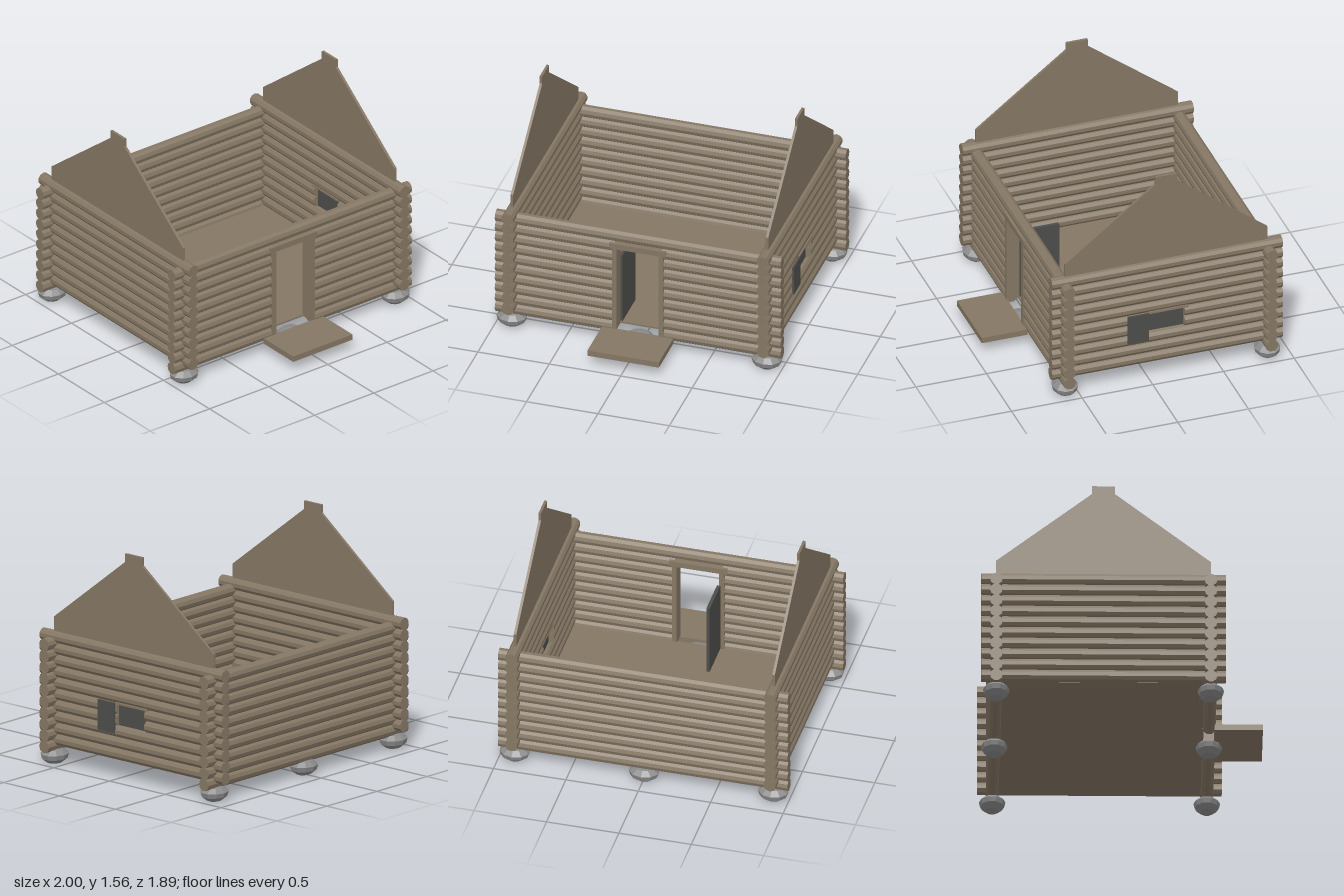
import * as THREE from 'three';

const wood = new THREE.MeshStandardMaterial({ color: 0x857764 });
wood.name = 'wood';
const slate = new THREE.MeshStandardMaterial({ color: 0x4d4e4b });
slate.name = 'dark panel';
const stone = new THREE.MeshStandardMaterial({ color: 0x8a8a8a });
stone.name = 'stone';

const LOG_R = 0.043, PITCH = 0.0785, LOGS = 10;
const WALL_X = 0.893, FRONT_Z = 0.587, BACK_Z = -0.845;

function add(parent, geometry, material, name) {
  const mesh = new THREE.Mesh(geometry, material);
  mesh.name = name;
  parent.add(mesh);
  return mesh;
}

// Box given by its minimum and maximum corners
function box(parent, name, material, [x0, y0, z0], [x1, y1, z1]) {
  const geo = new THREE.BoxGeometry(x1 - x0, y1 - y0, z1 - z0);
  geo.translate((x0 + x1) / 2, (y0 + y1) / 2, (z0 + z1) / 2);
  return add(parent, geo, material, name);
}

// Faceted log between a and b along the x or z axis
function log(parent, axis, a, b, y, offset) {
  const geo = new THREE.CylinderGeometry(LOG_R, LOG_R, b - a, 10).toNonIndexed();
  geo.computeVertexNormals();
  if (axis === 'x') {
    geo.rotateZ(Math.PI / 2);
    geo.translate((a + b) / 2, y, offset);
  } else {
    geo.rotateX(Math.PI / 2);
    geo.translate(offset, y, (a + b) / 2);
  }
  add(parent, geo, wood, 'log');
}

// Stack of logs; rows listed in the opening are split around it
function logWall(parent, name, axis, a, b, y0, offset, opening) {
  const wall = new THREE.Group();
  wall.name = name;
  parent.add(wall);
  for (let i = 0; i < LOGS; i++) {
    const y = y0 + i * PITCH;
    if (opening && i >= opening.first && i <= opening.last) {
      log(wall, axis, a, opening.from, y, offset);
      log(wall, axis, opening.to, b, y, offset);
    } else {
      log(wall, axis, a, b, y, offset);
    }
  }
}

export function createModel() {
  const cabin = new THREE.Group();
  cabin.name = 'logCabin';

  // Log walls, the side courses half a log higher than front and back
  logWall(cabin, 'frontWall', 'x', -1, 1, 0.132, FRONT_Z, { first: 0, last: 8, from: -0.165, to: 0.165 });
  logWall(cabin, 'backWall', 'x', -1, 1, 0.132, BACK_Z);
  logWall(cabin, 'leftWall', 'z', -0.945, 0.687, 0.171, WALL_X, { first: 3, last: 4, from: -0.25, to: 0.005 });
  logWall(cabin, 'rightWall', 'z', -0.945, 0.687, 0.171, -WALL_X);

  // Gable boards
  const gable = new THREE.Shape([
    [0.587, 0.88], [0.587, 1.015], [-0.052, 1.51], [-0.052, 1.567],
    [-0.205, 1.567], [-0.205, 1.51], [-0.845, 1.015], [-0.845, 0.88],
  ].map(([z, y]) => new THREE.Vector2(-z, y)));
  for (const side of [-1, 1]) {
    const geo = new THREE.ExtrudeGeometry(gable, { depth: 0.018, bevelEnabled: false });
    geo.translate(0, 0, -0.009);
    geo.rotateY(Math.PI / 2);
    geo.translate(side * WALL_X, 0, 0);
    add(cabin, geo, wood, side > 0 ? 'leftGable' : 'rightGable');
  }

  // Floor and entrance step
  box(cabin, 'floor', wood, [-0.89, 0.128, -0.845], [0.89, 0.14, 0.55]);
  box(cabin, 'step', wood, [-0.25, 0.084, 0.622], [0.25, 0.125, 0.945]);

  // Door frame and open door
  for (const side of [-1, 1]) {
    const x = side * 0.163;
    box(cabin, 'doorPost', wood, [x - 0.017, 0.125, 0.538], [x + 0.017, 0.755, 0.63]);
  }
  box(cabin, 'doorLintel', wood, [-0.2, 0.752, 0.538], [0.2, 0.792, 0.632]);
  box(cabin, 'door', slate, [-0.155, 0.14, 0.262], [-0.132, 0.655, 0.54]);

  // Window: pane, head board and open shutter
  box(cabin, 'windowPane', slate, [0.889, 0.365, -0.255], [0.897, 0.53, 0.01]);
  box(cabin, 'windowHead', wood, [0.855, 0.522, -0.275], [0.937, 0.535, 0.005]);
  box(cabin, 'shutter', slate, [0.93, 0.32, 0.008], [0.944, 0.53, 0.156]);

  // Foundation stones under the corners and wall middles
  const profile = [[0, 0.004], [0.055, 0.008], [0.096, 0.038], [0.105, 0.07], [0.066, 0.1], [0, 0.112]]
    .map(([r, y]) => new THREE.Vector2(r, y));
  const rock = new THREE.LatheGeometry(profile, 10).toNonIndexed();
  rock.scale(1, 1, 0.85);
  rock.computeVertexNormals();
  for (const x of [-WALL_X, 0, WALL_X]) {
    for (const z of [FRONT_Z, BACK_Z]) {
      add(cabin, rock, stone, 'foundationStone').position.set(x, 0, z);
    }
  }

  return cabin;
}
